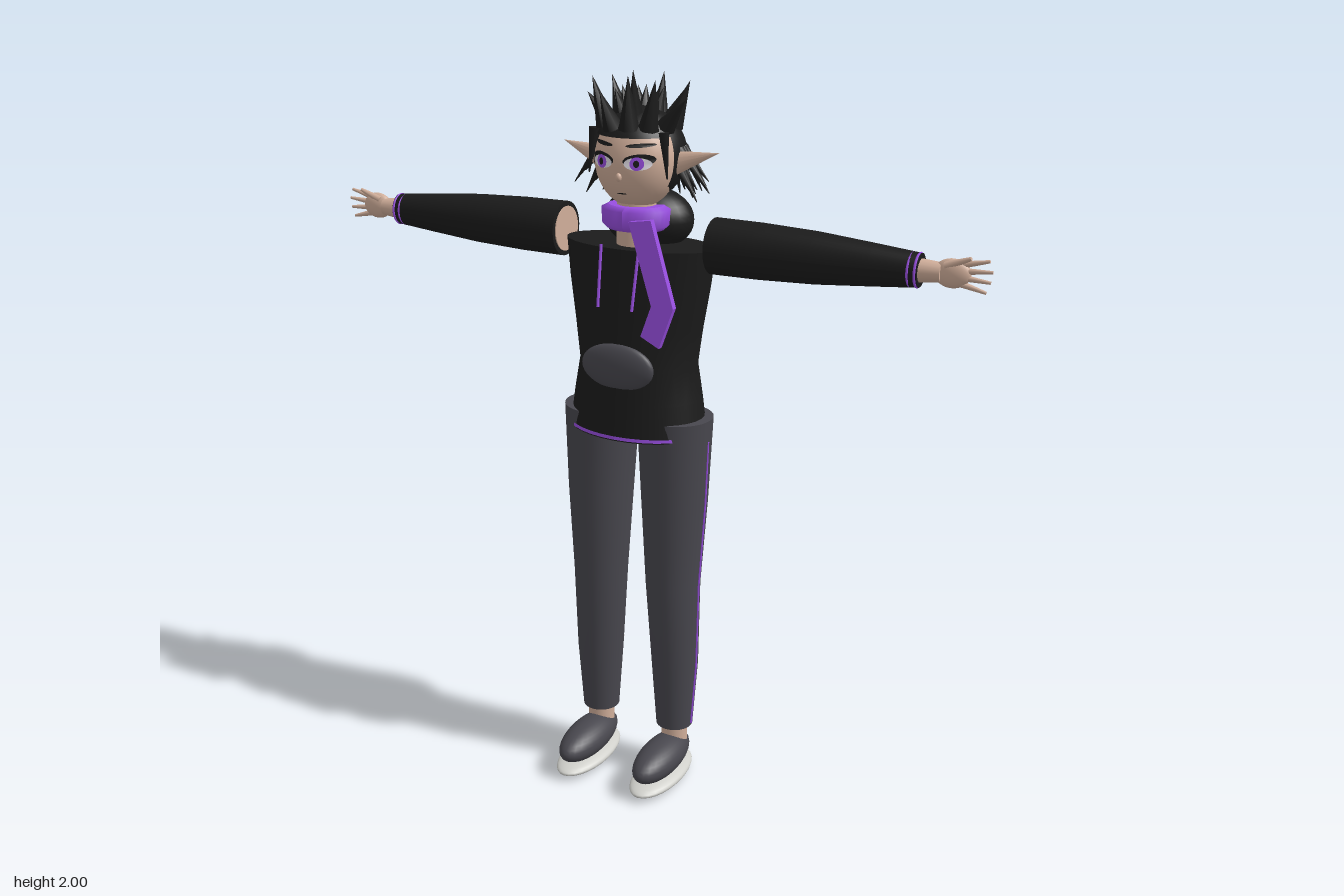
import * as THREE from 'three';

const mat = (name, color, side = THREE.FrontSide) => {
  const m = new THREE.MeshStandardMaterial({ color, side });
  m.name = name;
  return m;
};

export function createModel() {
  const root = new THREE.Group();
  root.name = 'elfFigure';
  const black = mat('black cloth and hair', 0x1b1b1b, THREE.DoubleSide);
  const grey = mat('dark grey cloth', 0x48474e);
  const skin = mat('skin', 0xd0ae9a, THREE.DoubleSide);
  const purple = mat('purple', 0x984ee0, THREE.DoubleSide);
  const sole = mat('sole grey', 0xcfcfca);
  const white = mat('eye white', 0xe6e2ea);

  const add = (name, geo, material, x = 0, y = 0, z = 0) => {
    const m = new THREE.Mesh(geo, material);
    m.name = name;
    m.position.set(x, y, z);
    root.add(m);
    return m;
  };
  const ball = (name, material, [x, y, z], [rx, ry, rz]) =>
    add(name, new THREE.SphereGeometry(1, 28, 18).scale(rx, ry, rz), material, x, y, z);

  // Closed tube through elliptical rings [y, cx, cz, rx, rz], listed top to bottom
  const loft = (rings, open = false) => {
    const n = rings.length - 1;
    const g = new THREE.CylinderGeometry(1, 1, 1, 32, n, open);
    const p = g.attributes.position;
    for (let i = 0; i < p.count; i++) {
      const [y, cx, cz, rx, rz] = rings[Math.round((0.5 - p.getY(i)) * n)];
      p.setXYZ(i, cx + p.getX(i) * rx, y, cz + p.getZ(i) * rz);
    }
    g.computeVertexNormals();
    return g;
  };

  // Cone or rod between two points
  const rod = (name, material, a, b, r0, r1 = 0, sides = 8) => {
    const A = new THREE.Vector3(...a), B = new THREE.Vector3(...b);
    const d = B.clone().sub(A);
    const m = add(name, new THREE.CylinderGeometry(r1, r0, d.length(), sides), material);
    m.position.copy(A).addScaledVector(d, 0.5);
    m.quaternion.setFromUnitVectors(new THREE.Vector3(0, 1, 0), d.normalize());
    return m;
  };

  // Hoodie body, hem, hood and pocket
  add('hoodieBody', loft([
    [1.55, 0, -0.05, 0.215, 0.108], [1.45, 0, -0.047, 0.202, 0.115],
    [1.34, 0, -0.044, 0.183, 0.121], [1.23, 0, -0.042, 0.167, 0.127],
    [1.14, 0, -0.041, 0.183, 0.133], [1.04, 0, -0.04, 0.197, 0.139],
  ]), black);
  add('hemTrim', loft([[1.053, 0, -0.04, 0.199, 0.141], [1.044, 0, -0.04, 0.2, 0.142]], true), purple);
  ball('hood', black, [0, 1.605, -0.1], [0.125, 0.085, 0.09]);
  ball('pocket', grey, [0, 1.24, 0.077], [0.107, 0.063, 0.025]);

  // Neck and scarf
  add('neck', loft([[1.7, 0, -0.03, 0.052, 0.05], [1.54, 0, -0.03, 0.055, 0.052]]), skin);
  add('scarfWrap', loft([
    [1.655, 0, -0.025, 0.075, 0.06], [1.645, 0, -0.025, 0.094, 0.077],
    [1.605, 0, -0.025, 0.092, 0.075], [1.592, 0, -0.025, 0.078, 0.062],
  ]), purple);
  const tail = new THREE.Shape([
    [0.025, 1.625], [0.088, 1.635], [0.168, 1.42], [0.135, 1.315], [0.08, 1.34], [0.105, 1.42],
  ].map(([x, y]) => new THREE.Vector2(x, y)));
  const tailGeo = new THREE.ExtrudeGeometry(tail, { depth: 0.018, bevelEnabled: false });
  const tp = tailGeo.attributes.position;
  for (let i = 0; i < tp.count; i++) tp.setZ(i, tp.getZ(i) + 0.045 + (1.63 - tp.getY(i)) * 0.13);
  tailGeo.computeVertexNormals();
  add('scarfTail', tailGeo, purple);

  for (const s of [1, -1]) {
    rod('drawstring', purple, [s * 0.055, 1.56, 0.063], [s * 0.05, 1.4, 0.092], 0.004, 0.004);

    // Sleeve with the arm showing at its inner end, and cuff rings
    const sleeve = loft([
      [-0.22, 0, 0, 0.073, 0.07], [-0.35, 0, 0, 0.072, 0.067], [-0.5, 0, 0, 0.066, 0.059],
      [-0.65, 0, 0, 0.053, 0.047], [-0.768, 0, 0, 0.042, 0.037],
    ]).rotateZ(s * Math.PI / 2);
    add('sleeve', sleeve, black, 0, 1.565, -0.038);
    const arm = [[-0.217, 0, 0, 0.06, 0.058], [-0.23, 0, 0, 0.06, 0.058]];
    add('armTop', loft(arm).rotateZ(s * Math.PI / 2), skin, 0, 1.565, -0.038);
    for (const x of [0.745, 0.763]) {
      const cuff = new THREE.TorusGeometry(0.041, 0.0035, 6, 28).rotateY(Math.PI / 2).scale(1, 1, 0.92);
      add('cuffTrim', cuff, purple, s * x, 1.565, -0.038);
    }

    // Hand
    rod('wrist', skin, [s * 0.76, 1.565, -0.038], [s * 0.82, 1.566, -0.038], 0.03, 0.024, 16);
    ball('palm', skin, [s * 0.845, 1.567, -0.038], [0.046, 0.036, 0.02]);
    for (let i = 0; i < 4; i++) {
      const d = (i - 1.5) * 0.015;
      rod('finger', skin, [s * 0.865, 1.567 + d, -0.038],
        [s * (0.945 - Math.abs(i - 1.7) * 0.009), 1.567 + d * 1.7, -0.038], 0.009, 0.004);
    }
    rod('thumb', skin, [s * 0.83, 1.585, -0.03], [s * 0.892, 1.61, -0.025], 0.011, 0.005);

    // Trouser leg with side stripe
    add('trouserLeg', loft([
      [1.09, s * 0.112, -0.04, 0.105, 0.1], [0.85, s * 0.115, -0.036, 0.092, 0.092],
      [0.6, s * 0.115, -0.032, 0.076, 0.08], [0.35, s * 0.121, -0.037, 0.066, 0.068],
      [0.15, s * 0.121, -0.038, 0.052, 0.053],
    ]), grey);
    [[1.03, 0.2135], [0.85, 0.208], [0.6, 0.192], [0.35, 0.188], [0.16, 0.1745]].forEach(([y, x], i, a) => {
      if (i) rod('sideStripe', purple, [s * a[i - 1][1], a[i - 1][0], -0.037], [s * x, y, -0.037], 0.003, 0.003, 6);
    });

    // Jagged tear on the back of the leg: rows [y, half width in radians]
    const rows = [[0.425, 0.03], [0.4, 0.22], [0.39, 0.15], [0.375, 0.5], [0.355, 0.75],
      [0.345, 0.45], [0.33, 0.5], [0.315, 0.15], [0.29, 0.03]];
    const tear = new THREE.PlaneGeometry(2, 1, 10, rows.length - 1);
    const p = tear.attributes.position;
    for (let i = 0; i < p.count; i++) {
      const [y, w] = rows[Math.floor(i / 11)];
      const a = p.getX(i) * w, r = 0.071 + (y - 0.35) * 0.05;
      p.setXYZ(i, -Math.sin(a) * r, y, -Math.cos(a) * (r + 0.002));
    }
    tear.computeVertexNormals();
    add('trouserTear', tear, skin, s * 0.121, 0, -0.037);

    // Ankle and shoe
    rod('ankle', skin, [s * 0.121, 0.09, -0.038], [s * 0.121, 0.16, -0.038], 0.038, 0.038, 20);
    ball('shoe', grey, [s * 0.12, 0.076, 0.042], [0.058, 0.05, 0.14]);
    ball('shoeSole', sole, [s * 0.12, 0.023, 0.042], [0.067, 0.023, 0.148]);

    // Pointed ear
    const ear = rod('ear', skin, [s * 0.095, 1.765, -0.035], [s * 0.226, 1.8, -0.045], 0.034, 0, 14);
    ear.scale.z = 0.55;
  }

  // Head
  const C = [0, 1.77, -0.03], R = [0.112, 0.126, 0.1];
  ball('head', skin, C, R);

  // Thin elliptical plates laid on the face
  const plate = (name, material, x, y, w, h, lift, tilt = 0) => {
    const g = new THREE.CircleGeometry(1, 24).scale(w, h, 1).rotateZ(tilt);
    const p = g.attributes.position;
    for (let i = 0; i < p.count; i++) {
      const px = p.getX(i) + x, py = p.getY(i) + y;
      const k = 1 - (px / R[0]) ** 2 - ((py - C[1]) / R[1]) ** 2;
      p.setXYZ(i, px, py, C[2] + R[2] * Math.sqrt(Math.max(k, 0)) + lift);
    }
    g.computeVertexNormals();
    add(name, g, material);
  };
  for (const s of [1, -1]) {
    plate('eyeLash', black, s * 0.051, 1.782, 0.038, 0.016, 0.003, s * 0.1);
    plate('eyeWhite', white, s * 0.05, 1.774, 0.033, 0.016, 0.005);
    plate('iris', purple, s * 0.05, 1.775, 0.017, 0.017, 0.007);
    plate('pupil', black, s * 0.05, 1.775, 0.007, 0.009, 0.009);
    plate('eyebrow', black, s * 0.052, 1.819, 0.034, 0.005, 0.004, s * 0.06);
  }
  plate('mouth', black, 0, 1.694, 0.014, 0.0018, 0.003);
  ball('nose', skin, [0, 1.738, 0.068], [0.008, 0.011, 0.008]);

  // Hair: crown dome and a shell round the back and sides
  const dome = new THREE.SphereGeometry(0.123, 32, 12, 0, Math.PI * 2, 0, 1.1);
  add('hairDome', dome, black, 0, 1.78, -0.045);
  const shell = new THREE.SphereGeometry(0.123, 28, 14, Math.PI - 0.3, Math.PI + 0.6, 0.9, 1.45);
  add('hairBack', shell, black, 0, 1.78, -0.045);

  // Two crowns of upright spikes
  const tips = [1.99, 1.95, 1.98, 1.93, 1.97, 1.94, 1.98, 1.95, 1.97, 1.93, 1.98];
  tips.forEach((y, i) => {
    const a = i / tips.length * Math.PI * 2 + 1.4, c = Math.cos(a), d = Math.sin(a);
    const out = 0.104 + (2 - y) * 0.45;
    rod('hairSpike', black, [c * 0.085, 1.855, -0.045 + d * 0.085],
      [c * out * 1.12, y, -0.045 + d * out * 0.95], 0.028, 0, 7);
  });
  for (let i = 0; i < 6; i++) {
    const a = i / 6 * Math.PI * 2 + 0.3, c = Math.cos(a), d = Math.sin(a);
    rod('hairSpike', black, [c * 0.04, 1.87, -0.045 + d * 0.04],
      [c * 0.065, i === 1 ? 2.0 : 1.95, -0.045 + d * 0.065], 0.024, 0, 7);
  }

  // Hanging strands fanning round the sides and back, in two layers
  for (let i = 0; i <= 22; i++) {
    const a = Math.PI + i / 22 * Math.PI, c = Math.cos(a), d = Math.sin(a);
    const side = Math.abs(c) ** 2, low = 1.672 + (i % 3) * 0.014;
    rod('hairStrand', black, [c * 0.112, 1.8, -0.045 + d * 0.112],
      [c * (0.125 + 0.07 * side), low + side * 0.02, -0.045 + d * 0.125], 0.014, 0.001, 6);
    rod('hairStrand', black, [c * 0.105, 1.76, -0.045 + d * 0.105],
      [c * (0.11 + 0.05 * side), low - 0.005, -0.045 + d * 0.118], 0.014, 0.001, 6);
  }

  // Locks framing the face
  for (const s of [1, -1]) {
    rod('faceLock', black, [s * 0.1, 1.85, 0.015], [s * 0.113, 1.735, 0.02], 0.014, 0.002, 6);
  }
  return root;
}
